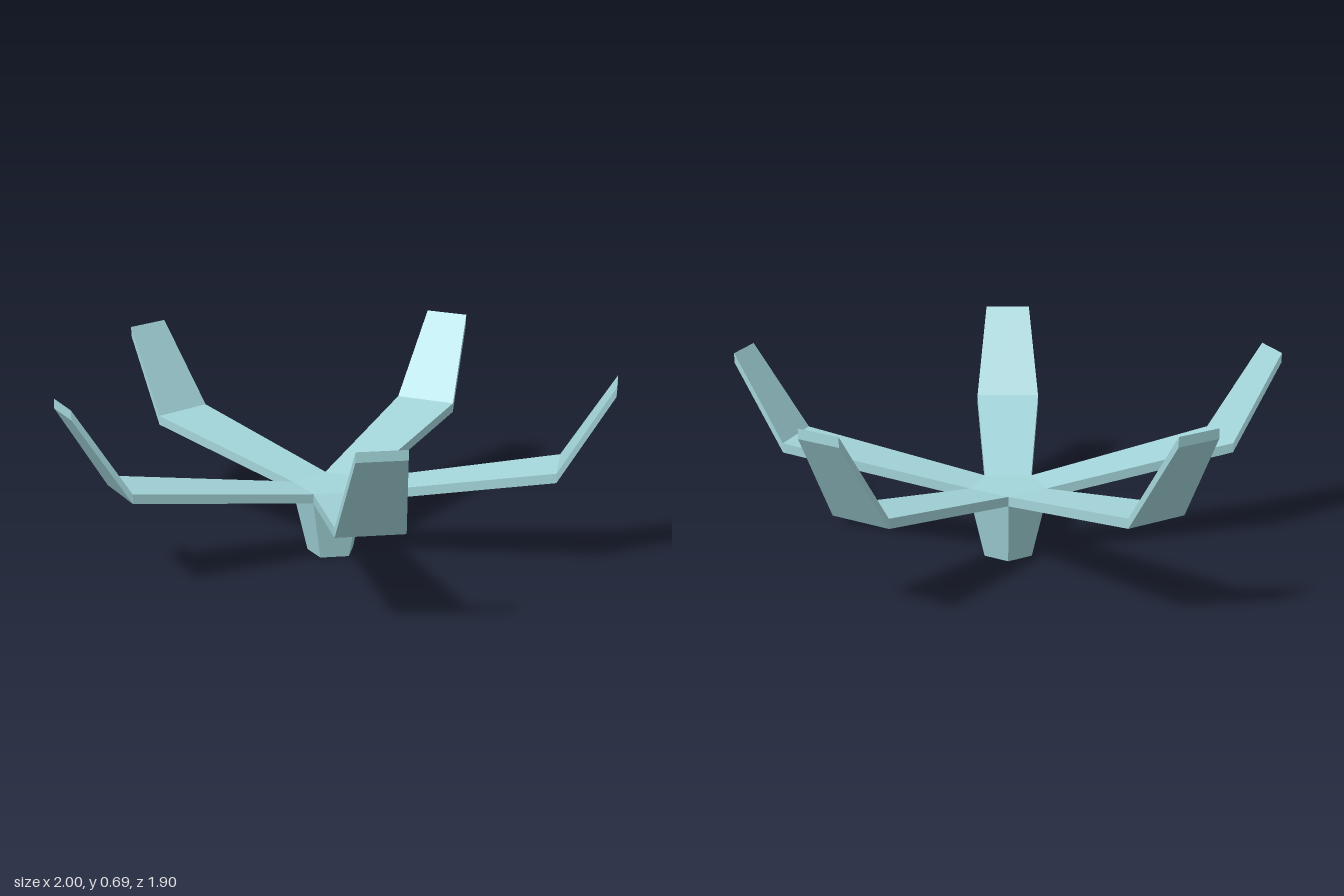
import * as THREE from 'three';

const ARMS = 5;
const HUB_RADIUS = 0.144;
const THICKNESS = 0.035;
const CENTER_Z = -0.073;

// Cross-sections of one arm, from hub to tip: distance, underside height, half width
const SECTIONS = [
  [HUB_RADIUS * Math.cos(Math.PI / ARMS), 0.225, HUB_RADIUS * Math.sin(Math.PI / ARMS)],
  [0.825, 0.34, 0.12],
  [1.023, 0.655, 0.085],
];

function armGeometry() {
  const positions = [];
  const index = [];
  SECTIONS.forEach(([z, y, w], s) => {
    const top = y + THICKNESS;
    positions.push(-w, y, z, w, y, z, w, top, z, -w, top, z);
    if (s === 0) return;
    for (let i = 0; i < 4; i++) {
      const a = (s - 1) * 4 + i;
      const b = (s - 1) * 4 + ((i + 1) % 4);
      index.push(a, b, b + 4, a, b + 4, a + 4);
    }
  });
  // Tip face
  const t = (SECTIONS.length - 1) * 4;
  index.push(t, t + 1, t + 2, t, t + 2, t + 3);

  const geometry = new THREE.BufferGeometry();
  geometry.setAttribute('position', new THREE.Float32BufferAttribute(positions, 3));
  geometry.setIndex(index);
  const flat = geometry.toNonIndexed();
  flat.computeVertexNormals();
  return flat;
}

export function createModel() {
  const model = new THREE.Group();
  model.name = 'fiveArmedStand';
  const material = new THREE.MeshStandardMaterial({ color: 0xa3d5da, flatShading: true });

  // Five-sided hub with a tapered foot
  const profile = [
    [0, 0],
    [0.09, 0],
    [HUB_RADIUS, 0.225],
    [HUB_RADIUS, 0.225 + THICKNESS],
    [0, 0.225 + THICKNESS],
  ].map(([r, y]) => new THREE.Vector2(r, y));
  const hub = new THREE.Mesh(new THREE.LatheGeometry(profile, ARMS, Math.PI), material);
  hub.name = 'hub';
  hub.position.z = CENTER_Z;
  model.add(hub);

  // Bent arms, one from each side of the hub
  const geometry = armGeometry();
  for (let i = 0; i < ARMS; i++) {
    const arm = new THREE.Mesh(geometry, material);
    arm.name = `arm${i + 1}`;
    arm.position.z = CENTER_Z;
    arm.rotation.y = (i * 2 * Math.PI) / ARMS;
    model.add(arm);
  }

  return model;
}
